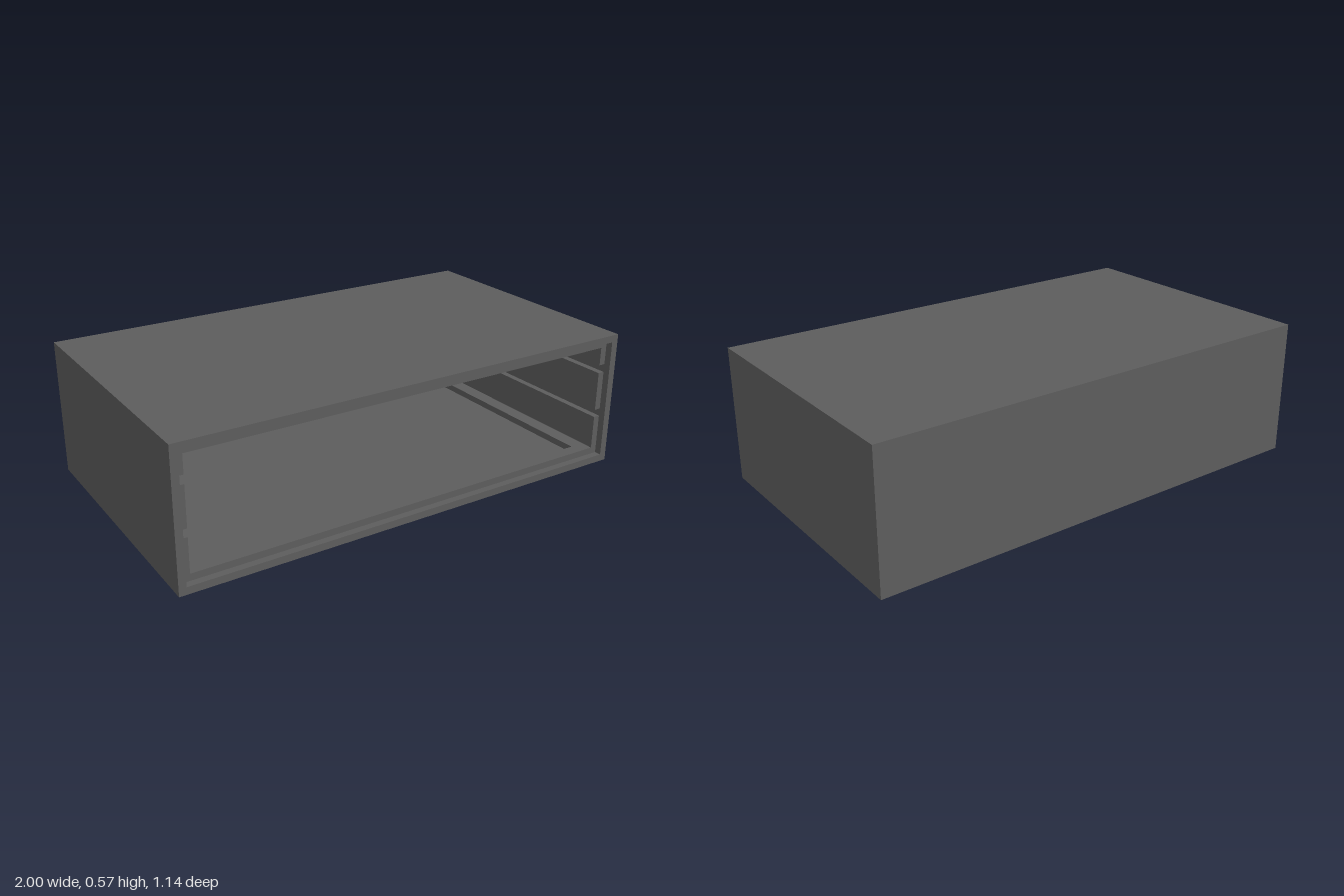
import * as THREE from 'three';

const W = 2, H = 0.572, D = 1.142;   // outer size
const T = 0.03;                      // wall thickness
const L = 0.028;                     // liner thickness
const RECESS = 0.03;                 // liner set back from the front rim

// Box without its +z face; inward turns the faces to the inside
function openBox(w, h, d, inward) {
  const geo = new THREE.BoxGeometry(w, h, d);
  const index = Array.from(geo.index.array);
  index.splice(24, 6);
  if (inward) {
    index.reverse();
    const n = geo.attributes.normal;
    for (let i = 0; i < n.array.length; i++) n.array[i] *= -1;
  }
  geo.setIndex(index);
  geo.clearGroups();
  return geo;
}

function rectangle(target, x0, y0, x1, y1) {
  target.moveTo(x0, y0).lineTo(x1, y0).lineTo(x1, y1).lineTo(x0, y1).closePath();
  return target;
}

// Rectangular sheet with a rectangular opening
function frameShape(w, h, borderX, borderY) {
  const shape = rectangle(new THREE.Shape(), -w / 2, -h / 2, w / 2, h / 2);
  const x = w / 2 - borderX, y = h / 2 - borderY;
  shape.holes.push(rectangle(new THREE.Path(), -x, -y, x, y));
  return shape;
}

export function createModel() {
  const model = new THREE.Group();
  model.name = 'openCabinet';
  const grey = new THREE.MeshStandardMaterial({ color: 0x5e5e5e });
  grey.name = 'dark grey';

  const add = (name, geo, x, y, z, parent = model) => {
    const mesh = new THREE.Mesh(geo, grey);
    mesh.name = name;
    mesh.position.set(x, y, z);
    parent.add(mesh);
    return mesh;
  };

  // Outer casing, its hollow inside and the front rim
  const casing = new THREE.Group();
  casing.name = 'casing';
  model.add(casing);
  add('outerWalls', openBox(W, H, D, false), 0, H / 2, 0, casing);
  add('innerWalls', openBox(W - 2 * T, H - 2 * T, D - T, true), 0, H / 2, T / 2, casing);
  add('frontRim', new THREE.ShapeGeometry(frameShape(W, H, T, T)), 0, H / 2, D / 2, casing);

  // Liner frames on the floor and ceiling, each with a large opening
  const linerW = W - 2 * T, linerD = D - T - RECESS;
  for (const [name, y] of [['floorFrame', T], ['ceilingFrame', H - T - L]]) {
    const geo = new THREE.ExtrudeGeometry(frameShape(linerW, linerD, 0.092, 0.052),
      { depth: L, bevelEnabled: false });
    geo.rotateX(-Math.PI / 2);
    add(name, geo, 0, y, 0);
  }

  // Side slats, leaving two runner grooves on each side
  const slats = [[T + L, 0.202], [0.235, 0.402], [0.437, H - T - L]];
  for (const side of [-1, 1]) {
    const group = new THREE.Group();
    group.name = side > 0 ? 'leftRunners' : 'rightRunners';
    model.add(group);
    for (const [y0, y1] of slats) {
      add('runnerSlat', new THREE.BoxGeometry(L, y1 - y0, linerD),
        side * (W / 2 - T - L / 2), (y0 + y1) / 2, 0, group);
    }
  }
  return model;
}
